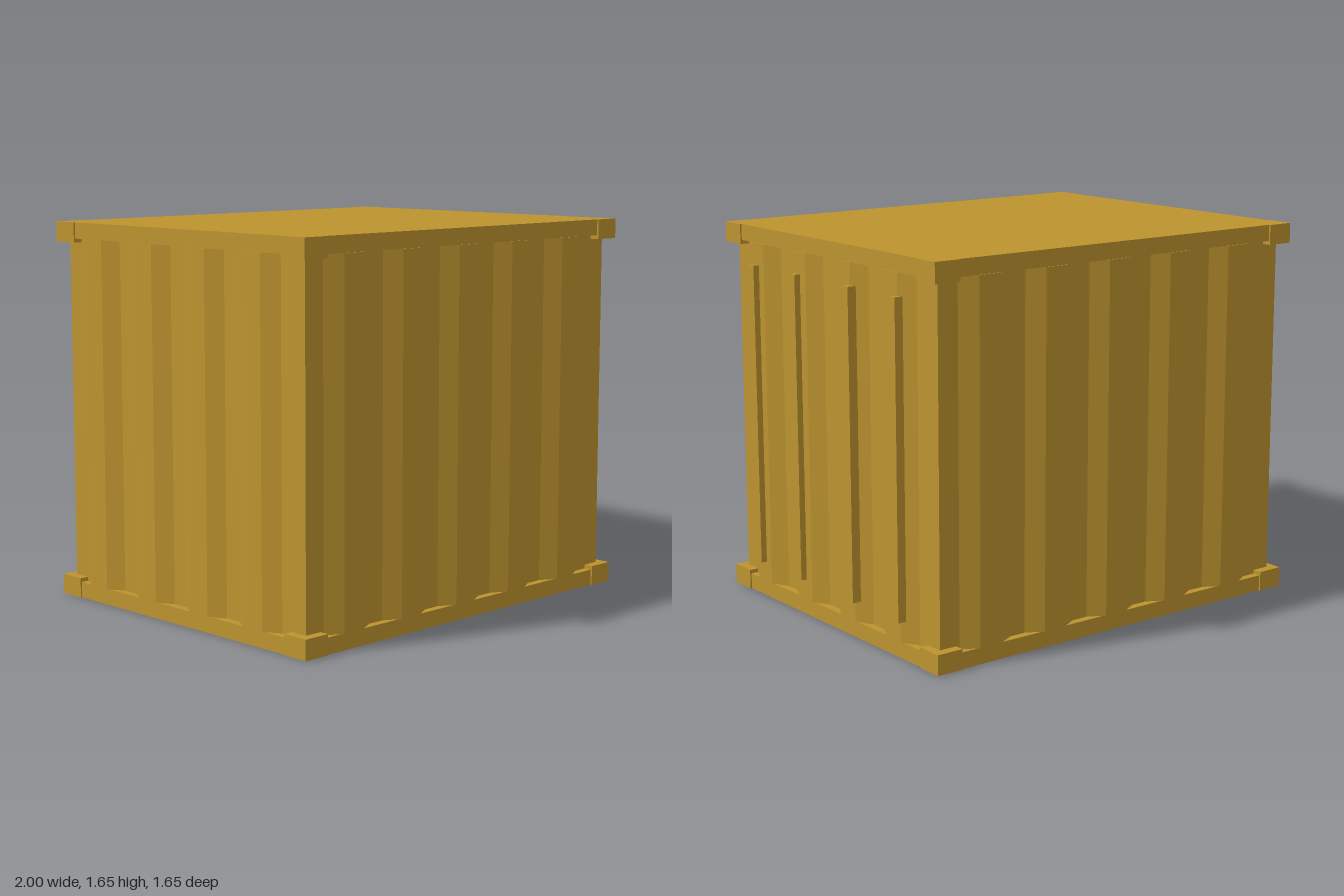
import * as THREE from 'three';

const HW = 0.958, HD = 0.781, H = 1.655; // half width, half depth, height
const RAIL_H = 0.07, CAST_H = 0.087, CAST_L = 0.122;
const RAIL_IN = 0.007, RIB_IN = 0.001, WALL_IN = 0.042; // insets from the corner castings
const PITCH = 0.333, RIB = 0.107, SLOPE = 0.075, SHIFT = -0.025;

// Outline of the four corrugated walls, each running from left to right as seen from outside
function wallOutline() {
  const pts = [];
  const walls = [[HW, HD, 5], [HD, HW, 4], [HW, HD, 5], [HD, HW, 4]];
  walls.forEach(([half, dist, ribs], side) => {
    const a = side * Math.PI / 2;
    const add = (u, inset) => pts.push(
      new THREE.Vector2(u, inset - dist).rotateAround(new THREE.Vector2(), a));
    add(-half + WALL_IN, WALL_IN);
    for (let i = 0; i < ribs; i++) {
      const c = (i - (ribs - 1) / 2) * PITCH + SHIFT;
      add(c - RIB / 2 - SLOPE, WALL_IN);
      add(c - RIB / 2, RIB_IN);
      add(c + RIB / 2, RIB_IN);
      add(c + RIB / 2 + SLOPE, WALL_IN);
    }
  });
  return pts;
}

export function createModel() {
  const material = new THREE.MeshStandardMaterial({ color: 0xbd932f, flatShading: true });
  const container = new THREE.Group();
  container.name = 'container';
  const add = (name, geometry, x = 0, y = 0, z = 0) => {
    const mesh = new THREE.Mesh(geometry, material);
    mesh.name = name;
    mesh.position.set(x, y, z);
    container.add(mesh);
  };
  const box = (name, w, h, d, x, y, z) => add(name, new THREE.BoxGeometry(w, h, d), x, y, z);

  // Corrugated walls
  const walls = new THREE.ExtrudeGeometry(new THREE.Shape(wallOutline()),
    { depth: H - 2 * RAIL_H, bevelEnabled: false });
  walls.rotateX(-Math.PI / 2);
  add('corrugatedWalls', walls, 0, RAIL_H, 0);

  // Floor and roof slabs with their side rails, and the corner castings
  for (const top of [false, true]) {
    const level = h => (top ? H - h / 2 : h / 2);
    box(top ? 'roof' : 'floor', 2 * (HW - RAIL_IN), RAIL_H, 2 * (HD - RAIL_IN), 0, level(RAIL_H), 0);
    for (const sx of [-1, 1]) for (const sz of [-1, 1]) {
      box('cornerCasting', CAST_L, CAST_H, CAST_L,
        sx * (HW - CAST_L / 2), level(CAST_H), sz * (HD - CAST_L / 2));
    }
  }

  // Vertical door bars on the +x end
  for (const z of [-0.53, -0.2, 0.2, 0.53]) {
    box('doorBar', 0.075, 1.33, 0.037, 0.9465, 0.827, z);
  }

  // The whole container stands slightly turned
  container.rotation.y = -0.0447;
  container.position.set(-0.0075, 0, -0.0025);
  const model = new THREE.Group();
  model.name = 'shippingContainer';
  model.add(container);
  return model;
}
